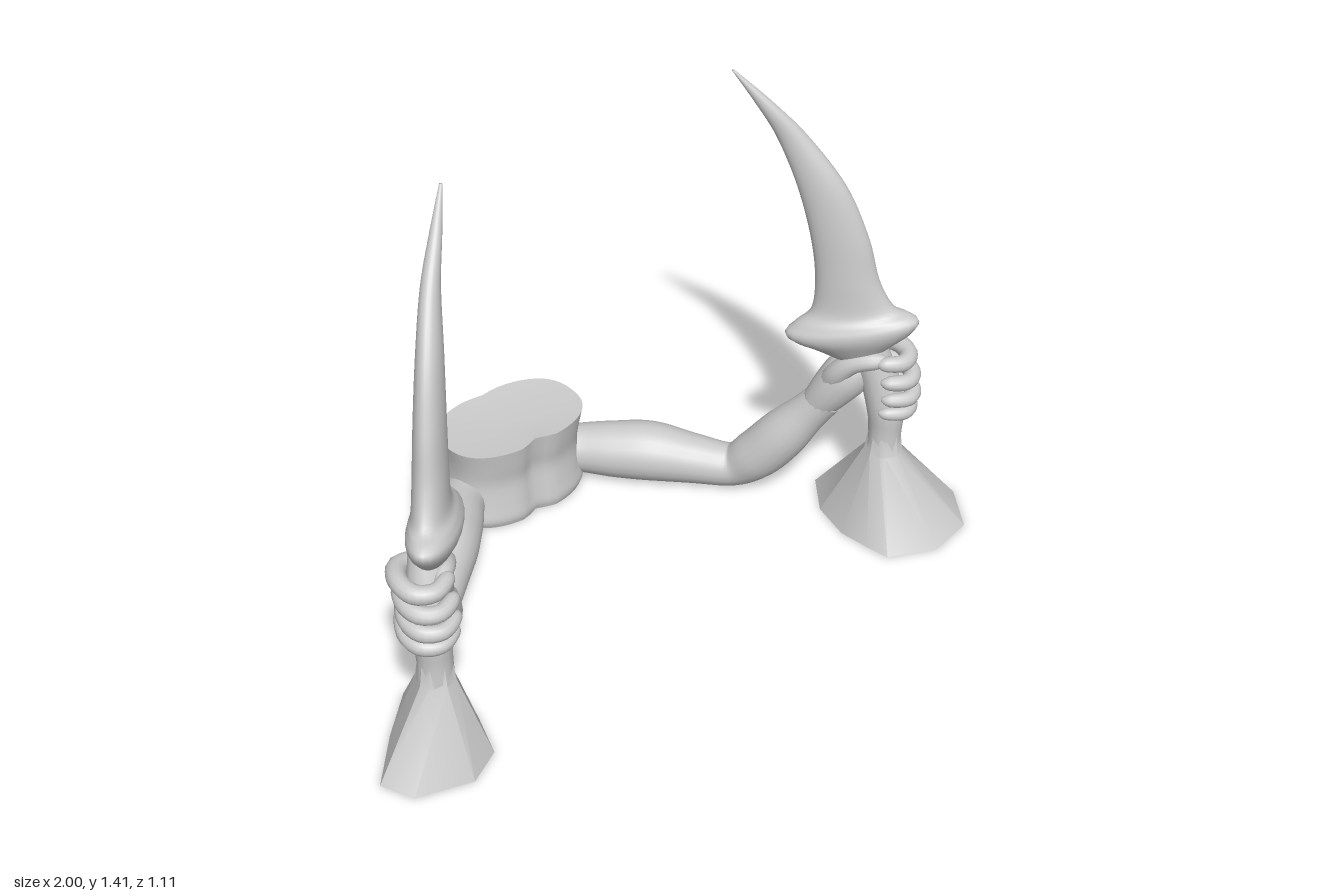
import * as THREE from 'three';
import { toCreasedNormals } from 'three/addons/utils/BufferGeometryUtils.js';

const MIRROR = -0.044; // twice the x of the symmetry plane
const material = new THREE.MeshStandardMaterial({ color: 0xcccccc, side: THREE.DoubleSide });

// Skin closed rings of Vector3 into a surface with both ends capped
function skin(rings, dip = 0) {
  const n = rings[0].length, pos = [], idx = [];
  rings.forEach(r => r.forEach(p => pos.push(p.x, p.y, p.z)));
  for (let i = 0; i < rings.length - 1; i++)
    for (let j = 0; j < n; j++) {
      const a = i * n + j, b = i * n + (j + 1) % n;
      idx.push(a, b, a + n, b, b + n, a + n);
    }
  [0, rings.length - 1].forEach((i, end) => {
    const c = new THREE.Vector3();
    rings[i].forEach(p => c.addScaledVector(p, 1 / n));
    const k = pos.length / 3;
    pos.push(c.x, c.y - dip * end, c.z);
    for (let j = 0; j < n; j++) {
      const a = i * n + j, b = i * n + (j + 1) % n;
      if (end) idx.push(a, b, k); else idx.push(b, a, k);
    }
  });
  const g = new THREE.BufferGeometry();
  g.setAttribute('position', new THREE.Float32BufferAttribute(pos, 3));
  g.setIndex(idx);
  g.computeVertexNormals();
  return g;
}

// Smoothly interpolate rows of numbers
function smoothRows(rows, steps) {
  const out = [];
  for (let i = 0; i <= steps; i++) {
    const t = i / steps * (rows.length - 1), k = Math.min(Math.floor(t), rows.length - 2), f = t - k;
    const at = q => rows[Math.max(0, Math.min(rows.length - 1, q))];
    out.push(rows[k].map((_, c) => {
      const [a, b, d, e] = [at(k - 1)[c], at(k)[c], at(k + 1)[c], at(k + 2)[c]];
      return b + 0.5 * f * (d - a + f * (2 * a - 5 * b + 4 * d - e + f * (3 * (b - d) + e - a)));
    }));
  }
  return out;
}

// Round limb through rows of [x, y, z, radius]
function limb(rows, steps, sides = 16) {
  const s = smoothRows(rows, steps);
  const curve = new THREE.CatmullRomCurve3(s.map(r => new THREE.Vector3(r[0], r[1], r[2])));
  curve.getPointAt = curve.getPoint;
  curve.getTangentAt = curve.getTangent;
  const fr = curve.computeFrenetFrames(steps, false);
  return skin(s.map((r, i) => Array.from({ length: sides }, (_, j) => {
    const a = j / sides * Math.PI * 2;
    return new THREE.Vector3(r[0], r[1], r[2])
      .addScaledVector(fr.normals[i], Math.cos(a) * r[3])
      .addScaledVector(fr.binormals[i], Math.sin(a) * r[3]);
  })));
}

// Upright blade through rows of [x, y, z, half width, half thickness, tilt]
function blade(rows, steps, sides = 24) {
  const dx = 0.69, dz = 0.724;
  return skin(smoothRows(rows, steps).map(([x, y, z, w, t, tilt]) =>
    Array.from({ length: sides }, (_, j) => {
      const a = j / sides * Math.PI * 2, u = Math.cos(a) * w, v = Math.sin(a) * t;
      return new THREE.Vector3(x + dx * u + dz * v, y + tilt * u, z + dz * u - dx * v);
    })));
}

// Faceted flared base: an uneven polygon drawn in to a small collar
function flaredBase(outline) {
  const collar = new THREE.Vector3(0.752, 0.24, 0.335);
  const foot = outline.map(([x, z]) => new THREE.Vector3(x, 0, z));
  const ring = (r, y) => foot.map(p => new THREE.Vector3(p.x - collar.x, 0, p.z - collar.z)
    .setLength(r).add(new THREE.Vector3(collar.x, y, collar.z)));
  return skin([foot, ring(0.054, 0.24), ring(0.046, 0.3)]);
}

function mirrored(geo) {
  const g = geo.clone().scale(-1, 1, 1).translate(MIRROR, 0, 0);
  const a = g.index.array;
  for (let i = 0; i < a.length; i += 3) [a[i], a[i + 1]] = [a[i + 1], a[i]];
  g.computeVertexNormals();
  return g;
}

export function createModel() {
  const model = new THREE.Group();
  const sides = ['left', 'right'].map(name => {
    const g = new THREE.Group();
    g.name = name + 'ArmAndSword';
    model.add(g);
    return g;
  });
  const add = (parent, name, geo) => {
    const mesh = new THREE.Mesh(geo, material);
    mesh.name = name;
    parent.add(mesh);
  };
  const both = (name, geo) => {
    add(sides[0], name, geo);
    add(sides[1], name, mirrored(geo));
  };

  // Torso block, waisted, with a shallow groove down the front and back
  const torso = smoothRows([
    [0, 0.215, 0.142], [0.025, 0.225, 0.147], [0.07, 0.215, 0.14],
    [0.14, 0.208, 0.13], [0.2, 0.212, 0.138], [0.26, 0.225, 0.146]
  ], 20).map(([y, hx, hz]) => Array.from({ length: 64 }, (_, j) => {
    const a = j / 64 * Math.PI * 2, s = Math.sin(a), c = Math.cos(a);
    const groove = Math.exp(-((s / 0.1) ** 2)) * (c > 0 ? 0.022 : 0.008);
    const sq = v => Math.sign(v) * Math.abs(v) ** 0.8;
    return new THREE.Vector3(-0.022 + hx * sq(s), y, -0.41 + hz * sq(c) - Math.sign(c) * groove);
  }));
  add(model, 'torso', toCreasedNormals(skin(torso, 0.015), 0.8));

  // Arm from shoulder through elbow to wrist
  both('arm', limb([
    [0.1, 0.08, -0.42, 0.06], [0.19, 0.08, -0.365, 0.072], [0.27, 0.085, -0.285, 0.084],
    [0.345, 0.088, -0.21, 0.088], [0.43, 0.075, -0.12, 0.074], [0.51, 0.068, -0.035, 0.064],
    [0.55, 0.13, 0.03, 0.074], [0.59, 0.22, 0.09, 0.073], [0.63, 0.31, 0.145, 0.058],
    [0.66, 0.38, 0.19, 0.052]
  ], 54, 20));

  // Palm and back of the hand
  both('palm', limb([
    [0.645, 0.35, 0.168, 0.05], [0.668, 0.41, 0.2, 0.062], [0.695, 0.465, 0.228, 0.068],
    [0.72, 0.51, 0.252, 0.055], [0.735, 0.55, 0.268, 0.02]
  ], 16, 16));

  // Four fingers wrapped round the grip
  [[0.55, -0.02], [0.497, 0], [0.443, 0.008], [0.392, 0]].forEach(([y, dz], i) => {
    const w = 0.026 - i * 0.001, b = y * 0.6 + 0.19;
    both('finger' + (i + 1), limb([
      [0.7, b, 0.215, w], [0.775, (b + y) / 2 + 0.006, 0.245 + dz, w + 0.002],
      [0.815, y + 0.004, 0.305 + dz, w], [0.81, y, 0.365 + dz, w],
      [0.765, y, 0.392 + dz, w - 0.002], [0.715, y + 0.005, 0.372 + dz, w - 0.005],
      [0.7, y + 0.007, 0.355 + dz, 0.006]
    ], 24, 12));
  });

  // Thumb round the inner side
  both('thumb', limb([
    [0.66, 0.42, 0.19, 0.035], [0.652, 0.485, 0.23, 0.034], [0.668, 0.535, 0.275, 0.028],
    [0.705, 0.555, 0.325, 0.024], [0.745, 0.55, 0.352, 0.008]
  ], 18, 12));

  // Grip running from the flared base up into the guard
  both('grip', limb([
    [0.752, 0.2, 0.335, 0.052], [0.752, 0.3, 0.335, 0.047], [0.752, 0.38, 0.33, 0.054],
    [0.742, 0.48, 0.305, 0.055], [0.715, 0.59, 0.27, 0.05]
  ], 16, 14));

  // Curved blade with a swollen, tilted guard at its foot
  both('bladeAndGuard', blade([
    [0.695, 0.535, 0.255, 0.05, 0.03, 0.1], [0.685, 0.575, 0.25, 0.105, 0.05, 0.12],
    [0.677, 0.615, 0.248, 0.165, 0.066, 0.16], [0.676, 0.645, 0.25, 0.183, 0.068, 0.18],
    [0.678, 0.67, 0.25, 0.16, 0.06, 0.17], [0.68, 0.705, 0.244, 0.113, 0.048, 0.1],
    [0.667, 0.8, 0.228, 0.088, 0.044, 0], [0.648, 0.93, 0.207, 0.08, 0.04, 0],
    [0.612, 1.08, 0.165, 0.068, 0.034, 0], [0.558, 1.22, 0.1, 0.044, 0.025, 0],
    [0.5, 1.32, 0.045, 0.025, 0.016, 0], [0.44, 1.41, -0.014, 0.004, 0.004, 0]
  ], 66));

  // Flared faceted bases, each with its own uneven outline
  const leftBase = flaredBase([[0.62, 0.43], [0.635, 0.5], [0.77, 0.56], [0.91, 0.53],
    [0.995, 0.4], [0.94, 0.31], [0.84, 0.2], [0.71, 0.11], [0.63, 0.22], [0.605, 0.34]]);
  const rightBase = flaredBase([[0.616, 0.32], [0.656, 0.445], [0.756, 0.5], [0.911, 0.455],
    [0.956, 0.365], [0.836, 0.23], [0.72, 0.12], [0.626, 0.2]]);
  add(sides[0], 'flaredBase', toCreasedNormals(leftBase, 0.6));
  add(sides[1], 'flaredBase', toCreasedNormals(mirrored(rightBase), 0.6));

  return model;
}
